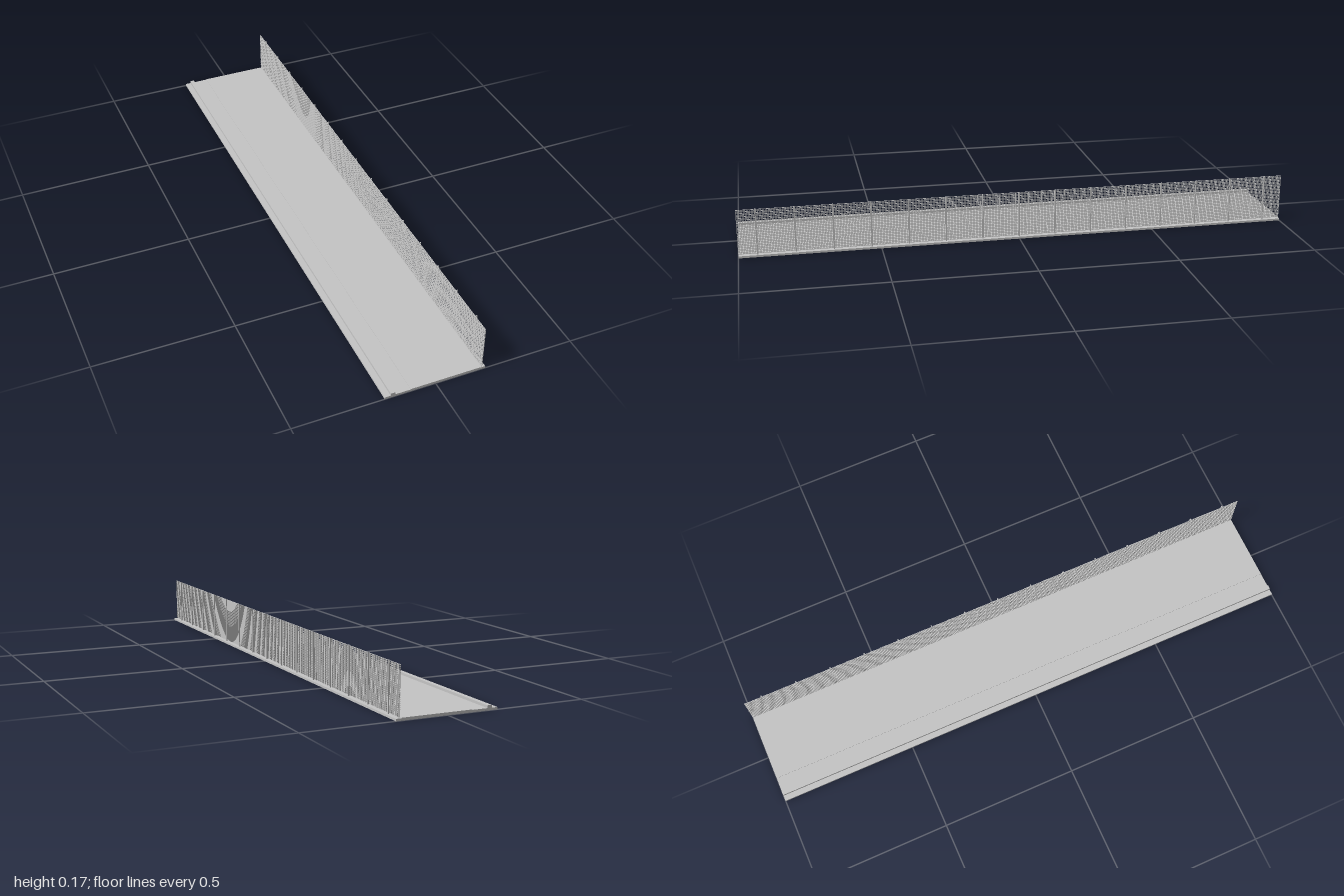
import * as THREE from 'three';
import { mergeGeometries } from 'three/addons/utils/BufferGeometryUtils.js';

// Box given by its min and max corners
function span(x0, x1, y0, y1, z0, z1) {
  return new THREE.BoxGeometry(x1 - x0, y1 - y0, z1 - z0)
    .translate((x0 + x1) / 2, (y0 + y1) / 2, (z0 + z1) / 2);
}

export function createModel() {
  const group = new THREE.Group();
  const concrete = new THREE.MeshStandardMaterial({ color: 0xc6c6c6 });
  concrete.name = 'lightGrey';

  const add = (name, parts) => {
    const mesh = new THREE.Mesh(parts.length > 1 ? mergeGeometries(parts) : parts[0], concrete);
    mesh.name = name;
    group.add(mesh);
  };

  // Walkway: slab, thin raised paving and kerb
  add('slab', [span(-0.18, 0.18, 0, 0.0075, -1, 1)]);
  add('paving', [span(-0.088, 0.16, 0.007, 0.009, -1, 1)]);
  add('kerb', [span(-0.159, -0.143, 0.007, 0.0165, -1, 1)]);

  // Posts on the outer side of the fence
  const posts = [];
  for (let i = -7; i <= 7; i++) {
    const z = i * 2 / 15;
    posts.push(span(0.1675, 0.172, 0.007, 0.175, z - 0.002, z + 0.002));
  }
  add('fencePosts', posts);

  // Fine mesh: long horizontal wires, with upright wires just outside them
  const w = 0.0009;
  const rows = 27, columns = 375;
  const bottom = 0.01, top = 0.173;
  const horizontal = [], upright = [];
  for (let i = 0; i <= rows; i++) {
    const y = bottom + w + (top - bottom - 2 * w) * i / rows;
    horizontal.push(span(0.1655, 0.1673, y - w, y + w, -1, 1));
  }
  for (let i = 0; i <= columns; i++) {
    const z = -1 + w + (2 - 2 * w) * i / columns;
    upright.push(span(0.1665, 0.168, bottom, top, z - w, z + w));
  }
  add('fenceHorizontalWires', horizontal);
  add('fenceUprightWires', upright);

  return group;
}
